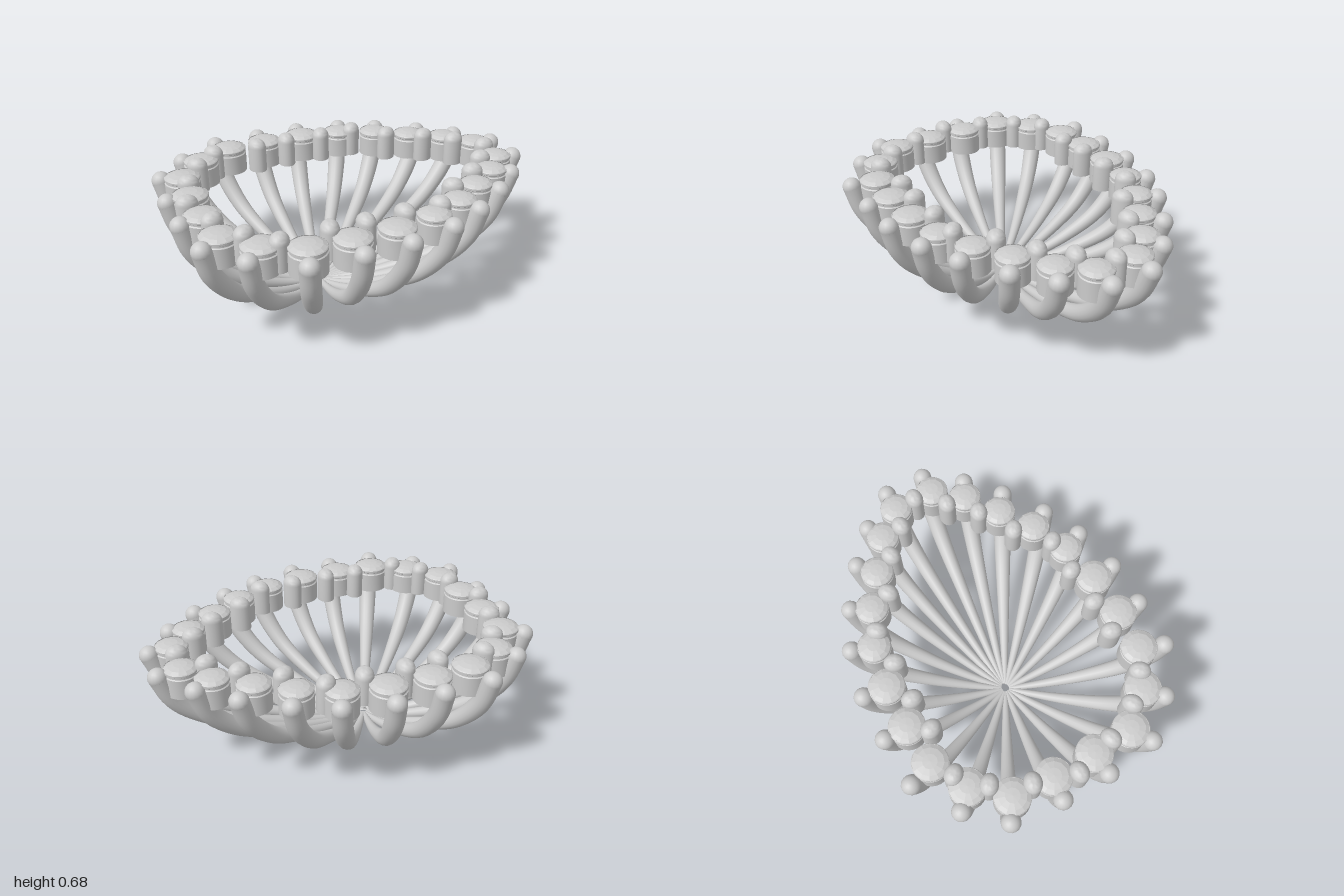
import * as THREE from 'three';
import { toCreasedNormals } from 'three/addons/utils/BufferGeometryUtils.js';

const HUB_X = -0.19; // where all ribs meet at the bottom
const TIP_R = 0.05;

// Plan positions for one half (z > 0); the other half is mirrored.
const tips = [[-0.95, 0.13], [-0.92, 0.4], [-0.76, 0.58], [-0.53, 0.73], [-0.27, 0.74], [-0.025, 0.735],
  [0.225, 0.68], [0.43, 0.585], [0.64, 0.445], [0.81, 0.295], [0.95, 0.11]];
const cups = [[-0.835, 0.115], [-0.82, 0.335], [-0.675, 0.5], [-0.485, 0.6], [-0.27, 0.615], [-0.04, 0.61],
  [0.18, 0.57], [0.375, 0.485], [0.545, 0.37], [0.715, 0.25], [0.835, 0.11]];
const beads = [[-0.815, 0.22], [-0.72, 0.405], [-0.595, 0.53], [-0.345, 0.52], [-0.165, 0.53],
  [0.045, 0.52], [0.24, 0.52], [0.4, 0.375], [0.585, 0.265], [0.715, 0.14]];

// Rib centre line: fraction of the reach, height
const ribProfile = [[0.03, 0.014], [0.15, 0.035], [0.3, 0.07], [0.52, 0.145], [0.77, 0.27], [0.94, 0.44], [1, 0.59]];

const material = new THREE.MeshStandardMaterial({ color: 0xcccccc, side: THREE.DoubleSide });
const facetMaterial = new THREE.MeshStandardMaterial({ color: 0xcccccc, flatShading: true });

function addMesh(parent, name, geometry, mat = material) {
  const mesh = new THREE.Mesh(geometry, mat);
  mesh.name = name;
  parent.add(mesh);
  return mesh;
}

// Round tube from the hub to a tip, thickening on the way
function ribGeometry(x, z) {
  const curve = new THREE.CatmullRomCurve3(
    ribProfile.map(([s, h]) => new THREE.Vector3(HUB_X + (x - HUB_X) * s, h, z * s)));
  const rings = 40, sides = 16;
  const geometry = new THREE.TubeGeometry(curve, rings, 1, sides);
  const pos = geometry.attributes.position;
  const p = new THREE.Vector3();
  const reach = Math.hypot(x - HUB_X, z);
  for (let i = 0; i <= rings; i++) {
    const c = curve.getPointAt(i / rings);
    const s = Math.hypot(c.x - HUB_X, c.z) / reach;
    const r = Math.min(TIP_R, 0.012 + 0.042 * s);
    for (let j = 0; j <= sides; j++) {
      const k = i * (sides + 1) + j;
      p.fromBufferAttribute(pos, k).sub(c).multiplyScalar(r).add(c);
      pos.setXYZ(k, p.x, p.y, p.z);
    }
  }
  return geometry;
}

// Cup open at the bottom, with a groove below its rim; radius 1
function cupGeometry() {
  const points = [[0, 0.59], [0.74, 0.59], [0.74, 0.49], [1, 0.49], [1, 0.595], [0.94, 0.6], [0.94, 0.608],
    [1, 0.612], [1, 0.622], [0.96, 0.626]].map(([r, y]) => new THREE.Vector2(r, y));
  return toCreasedNormals(new THREE.LatheGeometry(points, 28), 0.6);
}

// Shallow faceted dome on the cup; radius 1
function domeGeometry() {
  const points = [[0.98, 0.622], [0.75, 0.634], [0.4, 0.641], [0, 0.643]].map(([r, y]) => new THREE.Vector2(r, y));
  return new THREE.LatheGeometry(points, 12);
}

// Upright post with a rounded top; radius 0.047
function beadGeometry() {
  const points = [new THREE.Vector2(0, 0.495), new THREE.Vector2(0.047, 0.495)];
  for (let i = 0; i <= 8; i++) {
    const a = (i / 8) * Math.PI / 2;
    points.push(new THREE.Vector2(0.047 * Math.cos(a), 0.633 + 0.047 * Math.sin(a)));
  }
  return toCreasedNormals(new THREE.LatheGeometry(points, 20), 0.8);
}

export function createModel() {
  const model = new THREE.Group();
  model.name = 'ribbedBowl';
  const cup = cupGeometry(), dome = domeGeometry(), bead = beadGeometry();
  const tipBall = new THREE.SphereGeometry(TIP_R, 16, 12);

  function addBead(x, z) {
    const mesh = addMesh(model, 'bead', bead);
    mesh.position.set(x, 0, z);
    mesh.rotation.y = Math.atan2(x - HUB_X, z);
    mesh.scale.z = 1.2; // slightly long towards the hub
  }

  for (const side of [1, -1]) {
    // Ribs with rounded ends
    for (const [x, z] of tips) {
      const rib = new THREE.Group();
      rib.name = 'rib';
      model.add(rib);
      addMesh(rib, 'ribTube', ribGeometry(x, z * side));
      addMesh(rib, 'ribTip', tipBall).position.set(x, 0.59, z * side);
    }
    // Domed cups, smaller towards the long end
    cups.forEach(([x, z], i) => {
      const holder = new THREE.Group();
      holder.name = 'cup';
      const r = i < 6 ? 0.094 : 0.086;
      holder.scale.set(r, 1, r);
      holder.position.set(x, 0, z * side);
      model.add(holder);
      addMesh(holder, 'cupBody', cup);
      addMesh(holder, 'cupDome', dome, facetMaterial).rotation.y = i * 0.7;
    });
    // Beads between the cups
    for (const [x, z] of beads) addBead(x, z * side);
  }
  // Beads on the centre line
  addBead(-0.88, 0);
  addBead(0.83, 0);
  return model;
}
